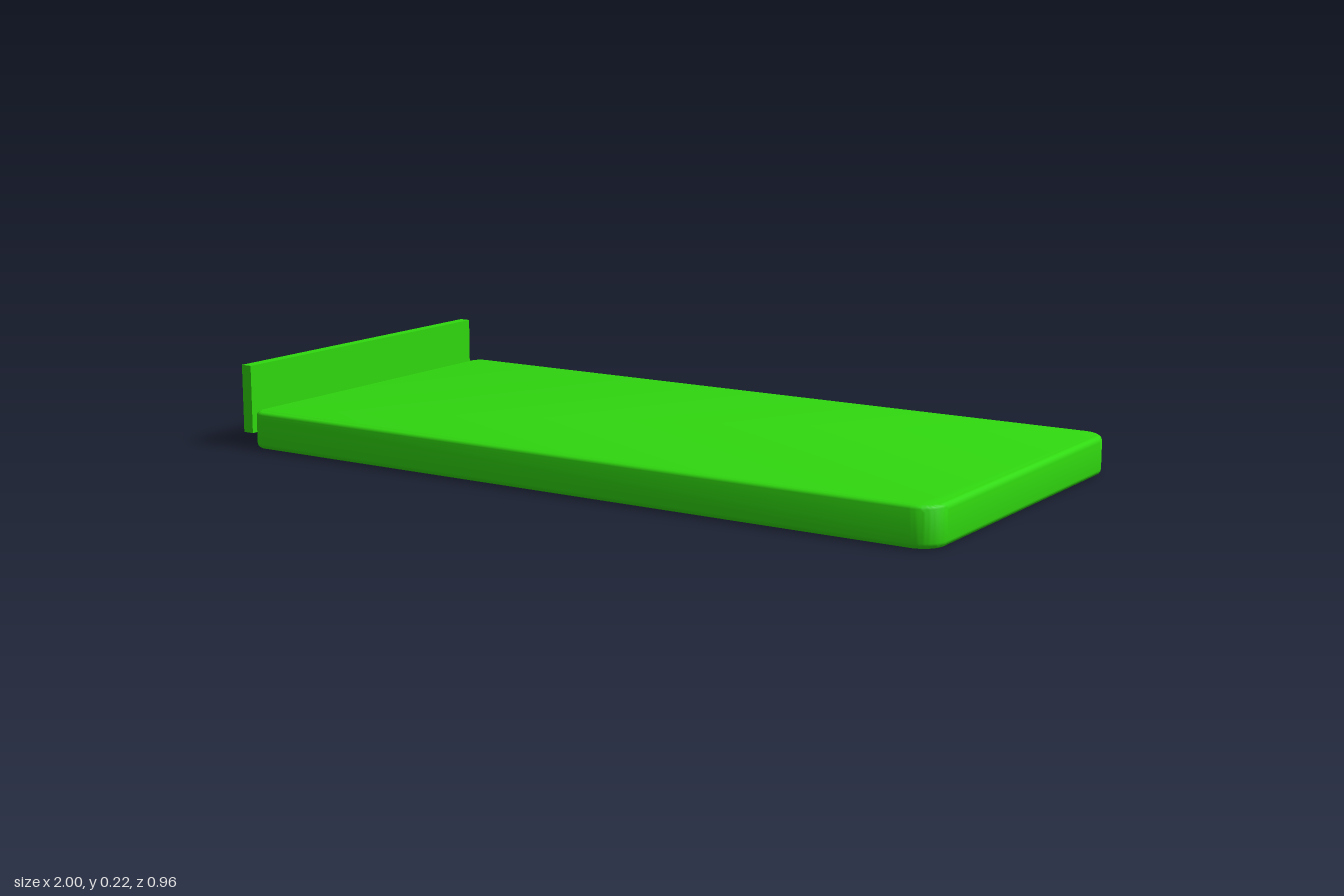
import * as THREE from 'three';
import { toCreasedNormals } from 'three/addons/utils/BufferGeometryUtils.js';

// Rectangle outline with separate corner radii at its -x and +x ends
function roundedOutline(x0, x1, halfDepth, rLeft, rRight) {
  const s = new THREE.Shape();
  const corner = (x, y, r, start) => s.absarc(x, y, r, start, start + Math.PI / 2, false);
  corner(x1 - rRight, halfDepth - rRight, rRight, 0);
  corner(x0 + rLeft, halfDepth - rLeft, rLeft, Math.PI / 2);
  corner(x0 + rLeft, -halfDepth + rLeft, rLeft, Math.PI);
  corner(x1 - rRight, -halfDepth + rRight, rRight, Math.PI * 1.5);
  s.closePath();
  return s;
}

export function createModel() {
  const model = new THREE.Group();
  const green = new THREE.MeshStandardMaterial({ color: 0x30d80f });

  // Flat slab with rounded corners and softened top and bottom rims
  const bevel = 0.014, height = 0.098;
  const outline = roundedOutline(-0.97 + bevel, 1 - bevel, 0.478 - bevel, 0.025, 0.05);
  const slabGeometry = new THREE.ExtrudeGeometry(outline, {
    depth: height - 2 * bevel,
    bevelThickness: bevel,
    bevelSize: bevel,
    bevelSegments: 4,
    curveSegments: 8,
  });
  slabGeometry.translate(0, 0, bevel).rotateX(-Math.PI / 2);
  const slab = new THREE.Mesh(toCreasedNormals(slabGeometry, 0.6), green);
  slab.name = 'mattressSlab';
  model.add(slab);

  // Thin upright board at the -x end
  const board = new THREE.Mesh(new THREE.BoxGeometry(0.03, 0.177, 0.914), green);
  board.name = 'headboard';
  board.position.set(-0.985, 0.1265, 0.014);
  model.add(board);

  return model;
}
